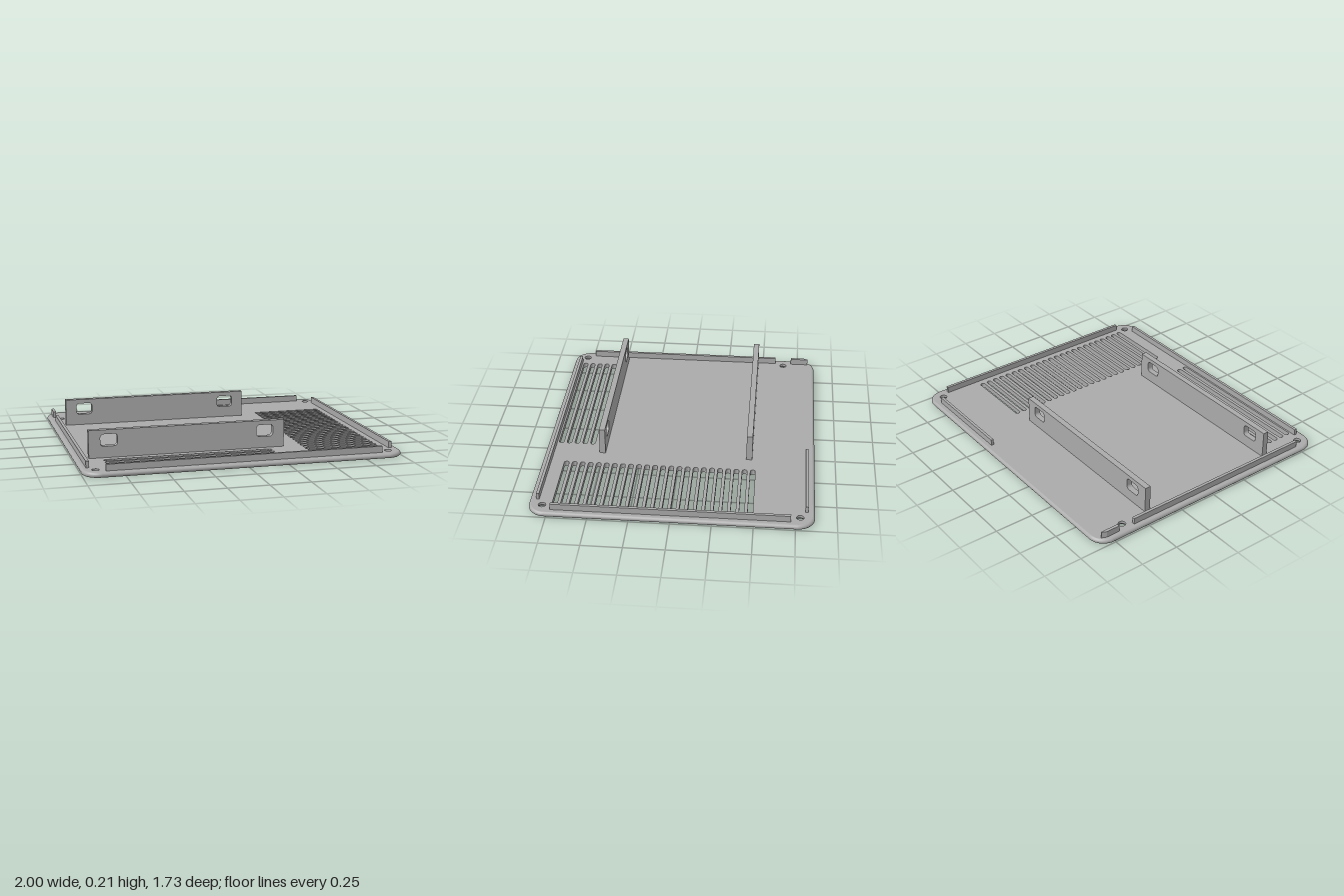
import * as THREE from 'three';
import { mergeGeometries } from 'three/addons/utils/BufferGeometryUtils.js';

const TOP = 0.033; // plate thickness

// Counter-clockwise rounded rectangle; becomes a slot or a circle when r is half its size
function roundRect(x0, x1, y0, y1, r, seg = 8) {
  const pts = [];
  const corners = [[x1 - r, y1 - r], [x0 + r, y1 - r], [x0 + r, y0 + r], [x1 - r, y0 + r]];
  corners.forEach(([cx, cy], k) => {
    for (let i = 0; i <= seg; i++) {
      const a = (k + i / seg) * Math.PI / 2;
      pts.push(new THREE.Vector2(cx + r * Math.cos(a), cy + r * Math.sin(a)));
    }
  });
  return pts.filter((p, i) => p.distanceTo(pts[(i + 1) % pts.length]) > 1e-5);
}
const circle = (x, y, r) => roundRect(x - r, x + r, y - r, y + r, r, 6);

// Skin between stacked loops; inward turns it into the wall of a hole
function loft(loops, heights, inward = false) {
  const n = loops[0].length, pos = [], index = [];
  loops.forEach((loop, j) => loop.forEach(p => pos.push(p.x, p.y, heights[j])));
  for (let j = 0; j < loops.length - 1; j++) {
    for (let i = 0; i < n; i++) {
      const a = j * n + i, b = j * n + (i + 1) % n, c = a + n, d = b + n;
      if (inward) index.push(a, c, b, b, c, d);
      else index.push(a, b, c, b, d, c);
    }
  }
  const g = new THREE.BufferGeometry();
  g.setAttribute('position', new THREE.Float32BufferAttribute(pos, 3));
  g.setIndex(index);
  g.computeVertexNormals();
  return g;
}

// Flat face with holes at a given height
function face(outline, holes, height, down = false) {
  const shape = new THREE.Shape(outline);
  shape.holes = holes.map(h => new THREE.Path(h));
  const g = new THREE.ShapeGeometry(shape).translate(0, 0, height);
  if (down) {
    g.index.array.reverse();
    g.computeVertexNormals();
  }
  return g;
}

export function createModel() {
  const model = new THREE.Group();
  const grey = new THREE.MeshStandardMaterial({ color: 0xaaaaaa });
  grey.name = 'grey';
  const add = (name, geometry) => {
    const mesh = new THREE.Mesh(geometry, grey);
    mesh.name = name;
    model.add(mesh);
    return mesh;
  };
  // Plan shapes are drawn in x and -z, then laid flat
  const addFlat = (name, geometry) => add(name, geometry.rotateX(-Math.PI / 2));

  // Ventilation slots
  const slots = [];
  const slot = (x0, x1, z) => slots.push(roundRect(x0, x1, -z - 0.0155, -z + 0.0155, 0.0155, 4));
  for (let i = 0; i < 24; i++) slot(0.437, 0.905, -0.477 + i * 0.0516);
  for (let i = 0; i < 5; i++) slot(-0.835, 0.225, 0.577 + i * 0.0516);

  // Countersunk screw holes
  const screws = [[0.915, -0.778], [-0.92, -0.645], [-0.92, 0.783], [0.915, 0.783]];
  const small = screws.map(([x, z]) => circle(x, -z, 0.023));
  const large = screws.map(([x, z]) => circle(x, -z, 0.037));

  // Plate with rounded rim
  const outline = inset => roundRect(-1 + inset, 1 - inset, -0.866 + inset, 0.866 - inset, 0.105 - inset, 10);
  const profile = [[0.02, 0], [0.011, 0.002], [0.004, 0.006], [0, 0.012], [0, 0.02],
    [0.003, 0.026], [0.008, 0.031], [0.014, TOP]];
  addFlat('plateTop', face(outline(0.014), [...slots, ...small], TOP));
  addFlat('plateBottom', face(outline(0.02), [...slots, ...large], 0, true));
  addFlat('plateRim', loft(profile.map(p => outline(p[0])), profile.map(p => p[1])));
  addFlat('ventSlotWalls', mergeGeometries(slots.map(s => loft([s, s], [0, TOP], true))));
  addFlat('screwHoleWalls', mergeGeometries(small.flatMap((s, i) => [
    loft([large[i], s], [0, 0.016], true),
    loft([s, s], [0.016, TOP], true),
  ])));

  // Low locating rails around the edge
  const rail = (name, x0, x1, z0, z1) => {
    const g = new THREE.BoxGeometry(x1 - x0, 0.043, z1 - z0);
    add(name, g.translate((x0 + x1) / 2, 0.0515, (z0 + z1) / 2));
  };
  rail('frontRail', -0.865, 0.86, 0.81, 0.828);
  rail('backRail', 0.225, 0.86, -0.826, -0.808);
  rail('leftRail', 0.943, 0.962, -0.722, 0.727);
  rail('rightRail', -0.967, -0.948, -0.59, 0.727);

  // Short rail with a slanted end that clears the plate corner
  const stub = new THREE.Shape([[-0.967, 0.7], [-0.948, 0.7], [-0.948, 0.82], [-0.953, 0.82], [-0.967, 0.79]]
    .map(([x, y]) => new THREE.Vector2(x, y)));
  addFlat('shortRightRail', new THREE.ExtrudeGeometry(stub, { depth: 0.043, bevelEnabled: false })
    .translate(0, 0, 0.03));

  // Upright brackets with two rounded windows each
  for (const [name, z] of [['frontBracket', 0.478], ['backBracket', -0.468]]) {
    const wall = new THREE.Shape([[-0.915, 0.03], [0.322, 0.03], [0.322, 0.206], [-0.915, 0.206]]
      .map(([x, y]) => new THREE.Vector2(x, y)));
    wall.holes = [[-0.843, -0.737], [0.143, 0.25]]
      .map(([x0, x1]) => new THREE.Path(roundRect(x0, x1, 0.104, 0.179, 0.02, 5)));
    add(name, new THREE.ExtrudeGeometry(wall, { depth: 0.038, bevelEnabled: false }).translate(0, 0, z));
  }
  return model;
}
